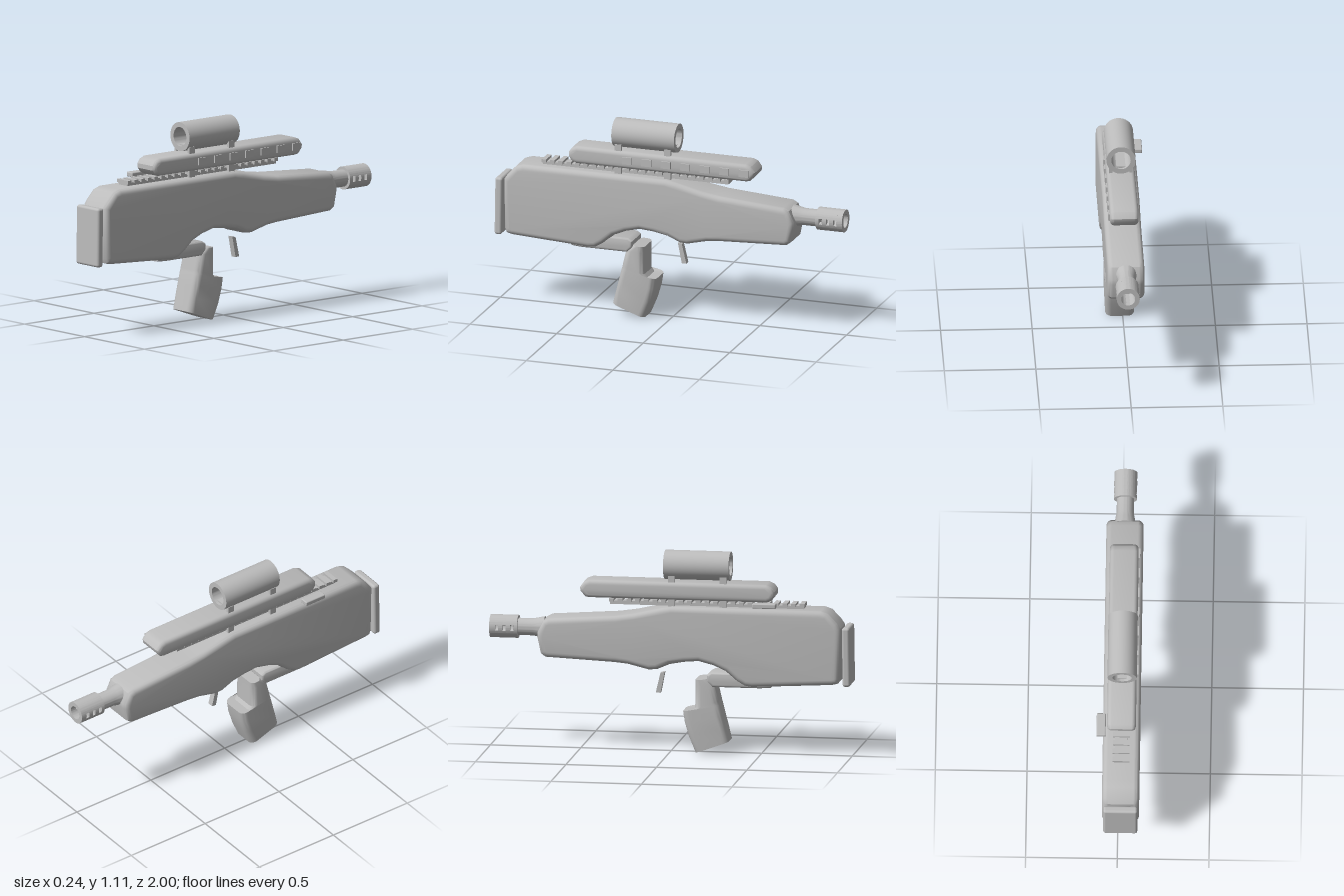
import * as THREE from 'three';
import { toCreasedNormals } from 'three/addons/utils/BufferGeometryUtils.js';
import { RoundedBoxGeometry } from 'three/addons/geometries/RoundedBoxGeometry.js';

const CX = 0.016; // centre plane of the main parts

export function createModel() {
  const model = new THREE.Group();
  const grey = new THREE.MeshStandardMaterial({ color: 0xbcbcbc });
  grey.name = 'plain grey';

  function add(name, geometry, x = 0, y = 0, z = 0, parent = model) {
    const mesh = new THREE.Mesh(geometry, grey);
    mesh.name = name;
    mesh.position.set(x, y, z);
    parent.add(mesh);
    return mesh;
  }
  const box = (w, h, d) => new THREE.BoxGeometry(w, h, d);

  function group(name) {
    const g = new THREE.Group();
    g.name = name;
    model.add(g);
    return g;
  }

  // Side profile of [z, y] points, extruded across x with rounded edges
  function profile(points, width, bevel) {
    const shape = new THREE.Shape(points.map(([z, y]) => new THREE.Vector2(z, y)));
    const geo = new THREE.ExtrudeGeometry(shape, {
      depth: width - 2 * bevel, bevelEnabled: bevel > 0, bevelThickness: bevel,
      bevelSize: bevel, bevelOffset: -bevel, bevelSegments: 5,
    });
    geo.translate(0, 0, -(width / 2 - bevel));
    geo.rotateY(-Math.PI / 2);
    return toCreasedNormals(geo, 0.6);
  }

  // Rounded-rectangle rings from the top down: [rear z, rear y, fore z, fore y, width]
  function loft(rings, radius) {
    const steps = 6, n = 4 * (steps + 1), pos = [], index = [];
    for (const [z0, y0, z1, y1, w] of rings) {
      const depth = z0 - z1, r = Math.min(radius, depth * 0.45);
      for (let c = 0; c < 4; c++) {
        const sx = c === 0 || c === 3 ? 1 : -1, sz = c < 2 ? 1 : -1;
        for (let i = 0; i <= steps; i++) {
          const a = (c + i / steps) * Math.PI / 2;
          const x = sx * (w / 2 - r) + r * Math.cos(a);
          const z = sz * (depth / 2 - r) + r * Math.sin(a);
          const t = 0.5 - z / depth;
          pos.push(x, y0 + (y1 - y0) * t, z0 + (z1 - z0) * t);
        }
      }
    }
    for (let k = 0; k < rings.length - 1; k++) {
      for (let i = 0; i < n; i++) {
        const a = k * n + i, b = k * n + (i + 1) % n;
        index.push(a, b, a + n, b, b + n, a + n);
      }
    }
    const last = (rings.length - 1) * n;
    for (let i = 1; i < n - 1; i++) {
      index.push(0, i + 1, i, last, last + i, last + i + 1);
    }
    const geo = new THREE.BufferGeometry();
    geo.setAttribute('position', new THREE.Float32BufferAttribute(pos, 3));
    geo.setIndex(index);
    return toCreasedNormals(geo, 0.6);
  }

  // Closed lathe of [radius, z] points about the z axis
  function turned(points) {
    const geo = new THREE.LatheGeometry(points.map(([r, z]) => new THREE.Vector2(r, z)), 48);
    geo.rotateX(Math.PI / 2);
    return toCreasedNormals(geo, 0.6);
  }

  // Main body
  add('body', profile([
    [0.945, 0.715], [0.925, 0.745], [0.875, 0.797], [0.835, 0.81],
    [0.01, 0.81], [-0.05, 0.8], [-0.2, 0.765], [-0.3, 0.75],
    [-0.67, 0.724], [-0.7, 0.708], [-0.73, 0.645], [-0.73, 0.615],
    [-0.712, 0.53], [-0.685, 0.51], [-0.3, 0.492], [-0.23, 0.485],
    [-0.115, 0.457], [-0.07, 0.46], [0, 0.49], [0.08, 0.505], [0.16, 0.512],
    [0.24, 0.492], [0.31, 0.462], [0.37, 0.41], [0.415, 0.383], [0.455, 0.377],
    [0.9, 0.402], [0.93, 0.41], [0.94, 0.435],
  ], 0.202, 0.03), CX);

  // Plate floating behind the body
  const plate = add('buttPlate', new RoundedBoxGeometry(0.186, 0.326, 0.042, 4, 0.014), CX, 0.558, 0.976);
  plate.rotation.x = -0.015;

  // Block under the body, above the grip
  add('lowerBlock', profile([
    [0.56, 0.375], [0.56, 0.45], [0.23, 0.45], [0.206, 0.435], [0.206, 0.4], [0.235, 0.37], [0.5, 0.37],
  ], 0.165, 0.015), CX);

  // Grip with its stepped fore edge
  add('grip', loft([
    [0.205, 0.412, 0.14, 0.406, 0.16],
    [0.247, 0.378, 0.14, 0.37, 0.164],
    [0.268, 0.29, 0.14, 0.25, 0.168],
    [0.271, 0.275, 0.125, 0.231, 0.168],
    [0.273, 0.27, 0.071, 0.23, 0.168],
    [0.288, 0.21, 0.08, 0.17, 0.168],
    [0.305, 0.145, 0.103, 0.09, 0.166],
    [0.325, 0.067, 0.14, 0, 0.158],
  ], 0.035), CX);

  add('trigger', profile([[-0.037, 0.435], [-0.06, 0.43], [-0.086, 0.32], [-0.06, 0.318]], 0.034, 0), CX);

  // Toothed rail along the top
  const rail = group('rail');
  add('railBase', box(0.07, 0.02, 1.07), CX, 0.817, 0.2, rail);
  for (let i = 0; i < 23; i++) {
    add('railTooth', box(0.092, 0.018, 0.026), CX, 0.831, 0.727 - i * 0.0479, rail);
  }

  // Long upper bar with small raised pads on its left
  add('upperBar', profile([
    [0.578, 0.905], [0.56, 0.93], [0.53, 0.943], [-0.445, 0.943], [-0.475, 0.932], [-0.498, 0.9],
    [-0.495, 0.88], [-0.47, 0.85], [-0.45, 0.845], [0.535, 0.845], [0.56, 0.856], [0.578, 0.88],
  ], 0.157, 0.024), CX);
  for (let i = 0; i < 7; i++) {
    add('sidePad', box(0.016, 0.04, 0.055), 0.095, 0.895, -0.44 + i * 0.1125);
  }

  // Paired mount legs holding the bar and the sight
  const mounts = group('mounts');
  for (const z of [0.293, 0.008]) {
    for (const side of [-1, 1]) {
      add('mountLeg', box(0.018, 0.175, 0.037), CX + side * 0.055, 0.89, z, mounts);
    }
  }

  // Sight tube with a recessed lens and an inner ledge
  const sight = group('sight');
  add('sightTube', turned([
    [0.053, -0.036], [0.08, -0.036], [0.08, 0.326], [0.053, 0.326], [0.053, -0.036],
  ]), CX, 1.03, 0, sight);
  add('lens', turned([[0, 0.21], [0.054, 0.21], [0.054, 0.215], [0, 0.215]]), CX, 1.03, 0, sight);
  add('sightLedge', box(0.05, 0.012, 0.33), CX, 0.979, 0.145, sight);

  // Side handle floating beside the rail
  add('sideHandle', new RoundedBoxGeometry(0.05, 0.026, 0.13, 3, 0.006), -0.095, 0.837, 0.53);

  // Barrel neck, flared where it enters the body
  add('barrel', turned([
    [0, -0.86], [0.047, -0.86], [0.047, -0.765], [0.053, -0.735], [0.06, -0.7], [0, -0.7],
  ]), CX, 0.66, 0);

  // Muzzle sleeve: full rings alternate with split rings that leave side slots
  const muzzle = group('muzzle');
  function sleeve(zMin, zMax, slotted) {
    const half = slotted ? 0.26 : 0;
    for (const start of [0, Math.PI]) {
      const shape = new THREE.Shape();
      shape.absarc(0, 0, 0.063, start + half, start + Math.PI - half, false);
      shape.absarc(0, 0, 0.038, start + Math.PI - half, start + half, true);
      const geo = new THREE.ExtrudeGeometry(shape, {
        depth: zMax - zMin, bevelEnabled: false, curveSegments: 24,
      });
      add('muzzleSleeve', toCreasedNormals(geo, 0.6), CX, 0.66, zMin, muzzle);
    }
  }
  const cuts = [-1, -0.968, -0.95, -0.926, -0.908, -0.884, -0.866, -0.846];
  for (let i = 0; i < cuts.length - 1; i++) sleeve(cuts[i], cuts[i + 1], i % 2 === 1);

  return model;
}
